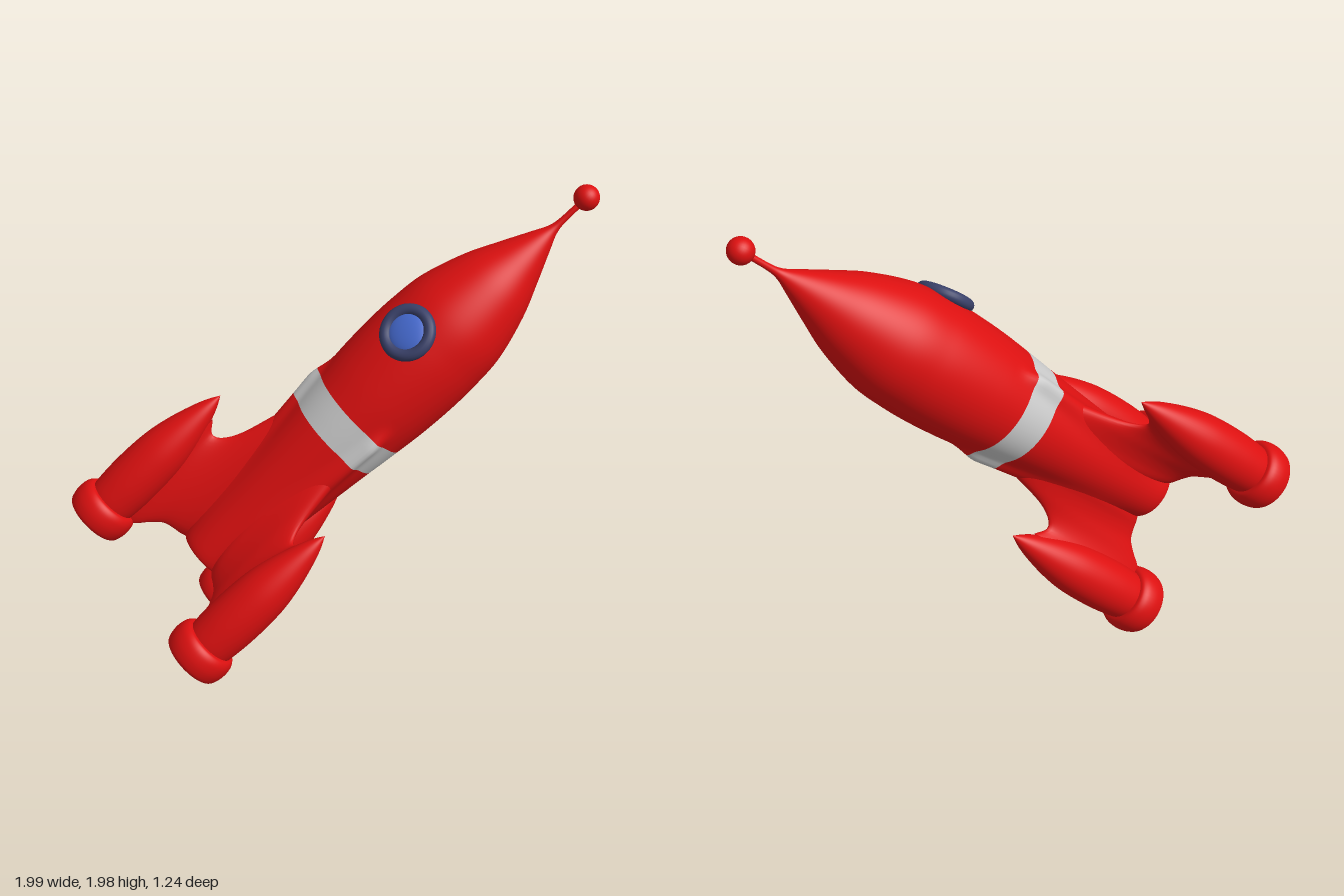
import * as THREE from 'three';
import { mergeVertices } from 'three/addons/utils/BufferGeometryUtils.js';

const paint = (color, side = THREE.FrontSide) => new THREE.MeshStandardMaterial({ color, side });
const red = paint(0xdd1010);
const redOpen = paint(0xdd1010, THREE.DoubleSide);
const silver = paint(0xcccccc);
const navy = paint(0x394068);
const blue = paint(0x4468cc);
const { smoothstep } = THREE.MathUtils;
const THIRD = Math.PI * 2 / 3;

function add(parent, name, geometry, material) {
  const mesh = new THREE.Mesh(geometry, material);
  mesh.name = name;
  parent.add(mesh);
  return mesh;
}

// Smooth profile through [radius, height] points
function profile(points, samples) {
  const curve = new THREE.SplineCurve(points.map(([r, y]) => new THREE.Vector2(r, y)));
  return curve.getPoints(samples).map((p) => new THREE.Vector2(Math.max(p.x, 0), p.y));
}

// Hull section: a lathe with three soft ridges that rise toward the fins
function hull(points, samples) {
  const geo = new THREE.LatheGeometry(profile(points, samples), 120);
  const pos = geo.attributes.position;
  for (let i = 0; i < pos.count; i++) {
    const x = pos.getX(i), y = pos.getY(i), z = pos.getZ(i);
    const r = Math.hypot(x, z);
    if (r < 0.1) continue;
    // angle to the nearest fin plane (60, 180 and 300 degrees from +z)
    const a = Math.atan2(x, z) + Math.PI * 3;
    const d = a - Math.round(a / THIRD) * THIRD;
    const width = 0.14 + 0.22 * (1 - smoothstep(y, 0.4, 1.05));
    const height = 0.03 * (1 - smoothstep(y, 1.02, 1.16)) * smoothstep(y, 0.2, 0.5);
    const k = 1 + height * Math.exp(-((d / width) ** 2)) / r;
    pos.setXYZ(i, x * k, y, z * k);
  }
  geo.deleteAttribute('normal');
  geo.deleteAttribute('uv');
  const welded = mergeVertices(geo, 1e-5);
  welded.computeVertexNormals();
  return welded;
}

// Fin web: lens-shaped sections stepping outward from hull to pod
function finGeometry() {
  const low = [0.2, 0.185, 0.178, 0.165, 0.125, 0.075, 0.05, 0.05];
  const high = [1.1, 1.05, 0.97, 0.82, 0.67, 0.595, 0.575, 0.62];
  const half = [0.09, 0.08, 0.058, 0.043, 0.036, 0.033, 0.037, 0.05];
  const rule = new THREE.CatmullRomCurve3(
    low.map((l, i) => new THREE.Vector3(l, high[i], half[i])), false, 'catmullrom');
  const rings = 28, sides = 40;
  const verts = [], index = [];
  for (let i = 0; i <= rings; i++) {
    const p = rule.getPoint(i / rings);
    const out = 0.1 + 0.28 * i / rings;
    for (let j = 0; j < sides; j++) {
      const f = j / sides * Math.PI * 2;
      const y = (p.x + p.y) / 2 + (p.y - p.x) / 2 * Math.cos(f);
      verts.push(p.z * Math.sin(f), y, out);
      if (i < rings) {
        const a = i * sides + j, b = i * sides + (j + 1) % sides;
        index.push(a, a + sides, b, b, a + sides, b + sides);
      }
    }
  }
  const geo = new THREE.BufferGeometry();
  geo.setAttribute('position', new THREE.Float32BufferAttribute(verts, 3));
  geo.setIndex(index);
  geo.computeVertexNormals();
  return geo;
}

export function createModel() {
  const model = new THREE.Group();
  model.name = 'rocket';

  // Tilted flight frame: local y runs to the nose, local z faces the window
  const ship = new THREE.Group();
  ship.name = 'ship';
  const up = new THREE.Vector3(0.668, 0.683, -0.296).normalize();
  const right = new THREE.Vector3().crossVectors(up, new THREE.Vector3(-0.333, 0.634, 0.697)).normalize();
  const face = new THREE.Vector3().crossVectors(right, up);
  ship.quaternion.setFromRotationMatrix(new THREE.Matrix4().makeBasis(right, up, face));
  ship.position.set(-0.576, 0.387, 0.096);
  model.add(ship);

  // Hull
  add(ship, 'lowerHull', hull([[0, 0.215], [0.07, 0.207], [0.112, 0.2], [0.13, 0.215], [0.143, 0.3],
    [0.162, 0.5], [0.183, 0.72], [0.204, 0.93]], 56), red);
  add(ship, 'band', hull([[0.204, 0.93], [0.212, 1.0], [0.219, 1.07]], 12), silver);
  add(ship, 'upperHull', hull([[0.219, 1.07], [0.231, 1.2], [0.237, 1.35], [0.234, 1.48], [0.219, 1.62],
    [0.167, 1.79], [0.108, 1.92], [0.05, 2.04], [0.022, 2.1], [0.013, 2.15], [0.012, 2.24]], 70), red);
  add(ship, 'noseBall', new THREE.SphereGeometry(0.05, 32, 20), red).position.y = 2.274;

  // Window: frame ring and domed pane
  const porthole = new THREE.Group();
  porthole.name = 'window';
  porthole.position.set(0, 1.46, 0.235);
  porthole.rotation.x = -0.08;
  ship.add(porthole);
  add(porthole, 'windowFrame', new THREE.TorusGeometry(0.089, 0.024, 16, 56), navy);
  const pane = add(porthole, 'windowPane', new THREE.SphereGeometry(0.08, 40, 20), blue);
  pane.scale.z = 0.3;

  // Three engine pods with their fin webs
  const finGeo = finGeometry();
  const podGeo = new THREE.LatheGeometry(profile([[0.1, 0.08], [0.104, 0.12], [0.108, 0.2], [0.107, 0.3],
    [0.099, 0.4], [0.079, 0.5], [0.05, 0.6], [0.025, 0.665], [0, 0.712]], 40), 48);
  const nozzleGeo = new THREE.LatheGeometry(profile([[0, 0.12], [0.06, 0.118], [0.095, 0.1], [0.1, 0.04],
    [0.104, -0.022], [0.113, -0.033], [0.126, -0.02], [0.134, 0.02], [0.13, 0.06], [0.116, 0.083],
    [0.098, 0.088]], 50), 48);
  for (let i = 0; i < 3; i++) {
    const engine = new THREE.Group();
    engine.name = 'engine' + (i + 1);
    engine.rotation.y = Math.PI / 3 + i * THIRD;
    ship.add(engine);
    add(engine, 'fin', finGeo, redOpen);
    add(engine, 'pod', podGeo, red).position.z = 0.427;
    add(engine, 'nozzle', nozzleGeo, redOpen).position.z = 0.427;
  }
  return model;
}
